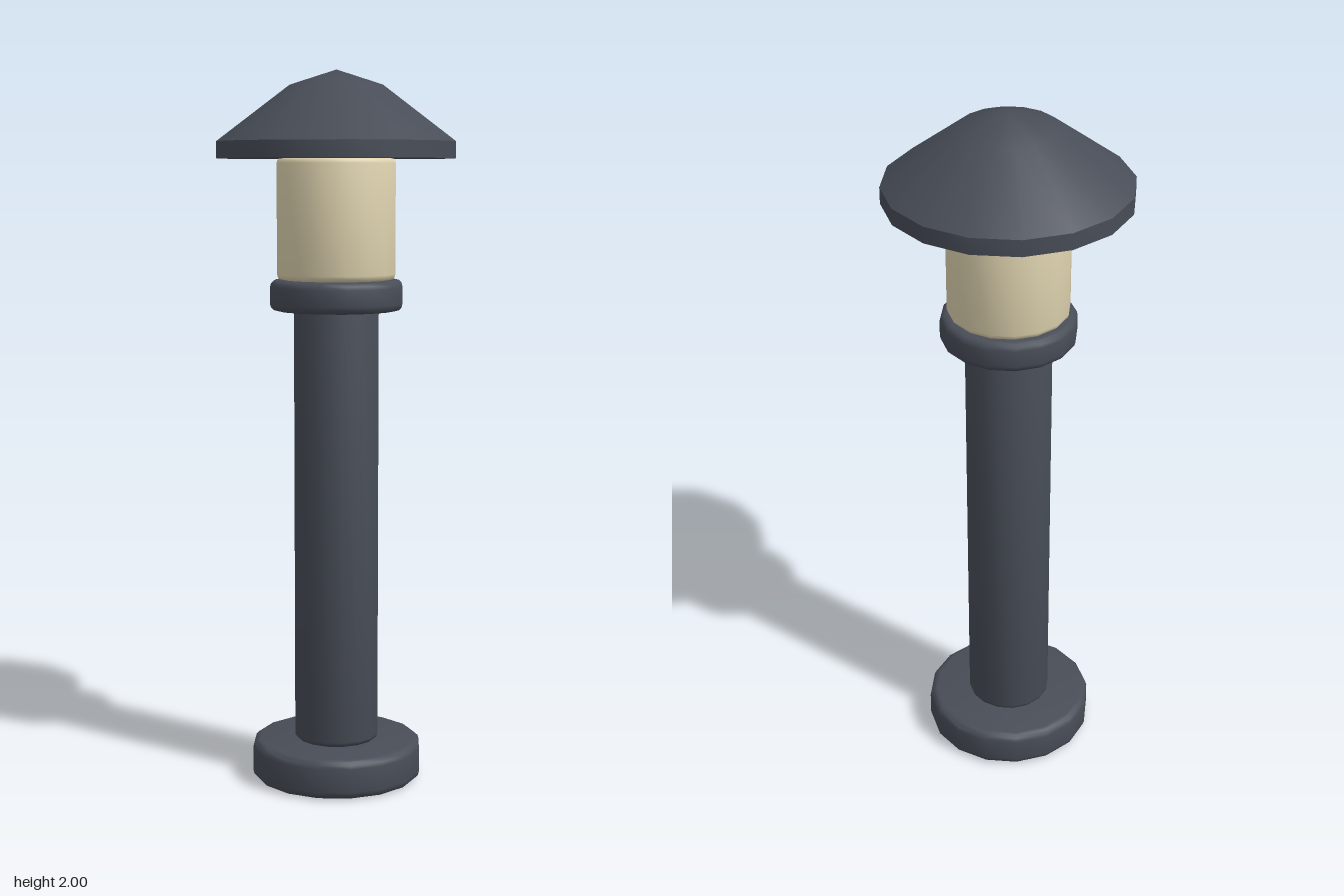
import * as THREE from 'three';
import { toCreasedNormals } from 'three/addons/utils/BufferGeometryUtils.js';

const SIDES = 16;

// Revolve a profile of [radius, height] pairs, listed from bottom to top
function turned(name, profile, material) {
  const points = profile.map(([r, y]) => new THREE.Vector2(r, y));
  const geometry = toCreasedNormals(new THREE.LatheGeometry(points, SIDES), 0.65);
  const mesh = new THREE.Mesh(geometry, material);
  mesh.name = name;
  return mesh;
}

// Closed drum profile with rounded rims
function drum(radius, bottom, top, round) {
  const profile = [[0, bottom]];
  const steps = 3;
  for (const [centre, start] of [[bottom + round, -Math.PI / 2], [top - round, 0]]) {
    for (let i = 0; i <= steps; i++) {
      const a = start + (i / steps) * Math.PI / 2;
      profile.push([radius - round + round * Math.cos(a), centre + round * Math.sin(a)]);
    }
  }
  profile.push([0, top]);
  return profile;
}

export function createModel() {
  const metal = new THREE.MeshStandardMaterial({ color: 0x484d57 });
  metal.name = 'dark grey metal';
  const glass = new THREE.MeshStandardMaterial({ color: 0xe0d4b0 });
  glass.name = 'warm cream glass';

  const model = new THREE.Group();
  model.name = 'bollardLight';
  model.add(
    turned('base', drum(0.242, 0, 0.111, 0.022), metal),
    turned('post', drum(0.12, 0.111, 1.36, 0.015), metal),
    turned('collar', drum(0.187, 1.34, 1.426, 0.02), metal),
    turned('lampGlass', drum(0.167, 1.426, 1.762, 0.016), glass),
    // Shallow conical hood with a flat underside and upright rim
    turned('hood', [[0, 1.759], [0.333, 1.759], [0.333, 1.805], [0.13, 1.958], [0, 2]], metal)
  );
  return model;
}
